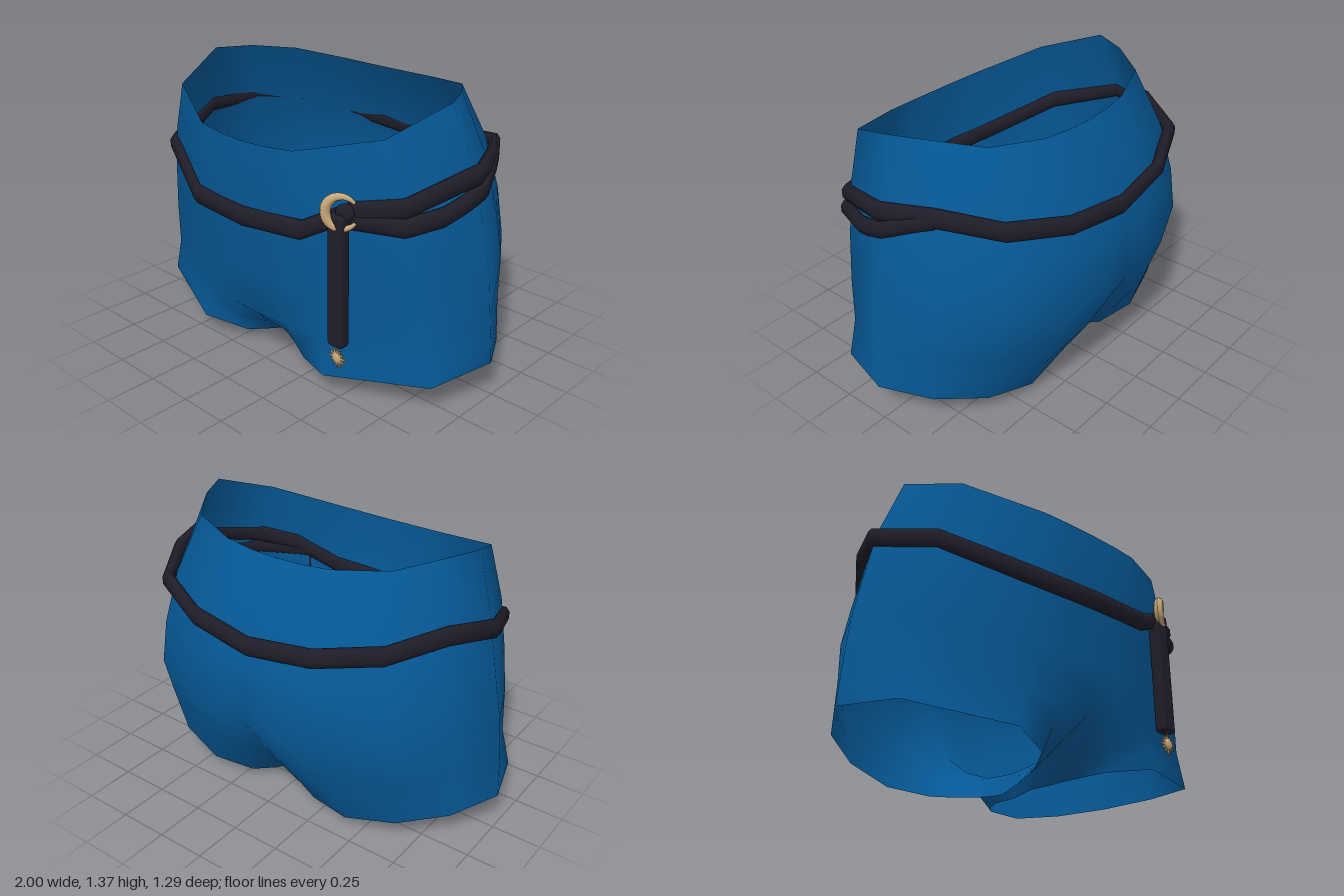
import * as THREE from 'three';
import { mergeVertices } from 'three/addons/utils/BufferGeometryUtils.js';
import { RoundedBoxGeometry } from 'three/addons/geometries/RoundedBoxGeometry.js';

const mat = (name, color, side = THREE.FrontSide) => {
  const m = new THREE.MeshStandardMaterial({ color, side });
  m.name = name;
  return m;
};

// Half outline of the hips from front to back: share of the half width, share of the depth
const OUTLINE = [
  [0, 1], [0.18, 0.99], [0.39, 0.95], [0.86, 0.61], [1, 0],
  [0.89, -0.37], [0.71, -0.76], [0.38, -0.95], [0.18, -0.99], [0, -1],
];
const BACK = OUTLINE.length - 1;

// Point on the outline at a (fractional) column; returns x, z and the depth share
function hipPoint(column, rx, zFront, zBack, zMid) {
  const i = Math.min(Math.floor(column), BACK - 1), f = column - i;
  const [u, w] = OUTLINE[i].map((v, k) => v + (OUTLINE[i + 1][k] - v) * f);
  return [rx * u, zMid + Math.abs(w) * ((w > 0 ? zFront : zBack) - zMid), w];
}

function makeGeometry(positions, index) {
  const g = new THREE.BufferGeometry();
  g.setAttribute('position', new THREE.Float32BufferAttribute(positions, 3));
  g.setIndex(index);
  return g;
}

function shortsGeometry() {
  // half width, front z, back z, middle z, then height at front, side and back
  const levels = [
    [0.768, 0.605, -0.4, 0.09, 1.16, 1.375, 1.31],
    [0.868, 0.61, -0.54, 0.04, 0.96, 1.08, 1.07],
    [0.925, 0.59, -0.625, 0.03, 0.74, 0.8, 0.83],
    [0.965, 0.56, -0.648, 0.03, 0.5, 0.6, 0.56],
    [0.985, 0.535, -0.56, 0.03, 0.265, 0.4, 0.32],
  ];
  const rows = levels.map(([rx, zf, zb, zm, yf, ys, yb]) => OUTLINE.map((_, column) => {
    const [x, z, w] = hipPoint(column, rx, zf, zb, zm);
    const y = w > 0 ? ys + (yf - ys) * w ** 1.3 : ys + (yb - ys) * (-w) ** 3;
    return [x, y, z];
  }));
  // Crease at the back, and the seam between the legs from back to front
  rows[4][BACK][2] += 0.06;
  const seam = [[0, 0.2, -0.34], [0, 0.13, -0.17], [0, 0.11, 0], [0, 0.12, 0.17], [0, 0.18, 0.36]];
  const legTop = [...rows[4], ...seam];
  // Leg opening: outside from front to back, then the inner thigh
  const hem = [
    [0.13, 0.04, 0.31], [0.2, 0.055, 0.43], [0.42, 0.095, 0.525], [0.9, 0.145, 0.335],
    [1, 0.18, 0.02], [0.875, 0.15, -0.21], [0.67, 0.105, -0.365], [0.42, 0.058, -0.425], [0.2, 0.045, -0.38],
    [0.12, 0.035, -0.29], [0.07, 0.022, -0.19], [0.05, 0.01, -0.1], [0.04, 0.003, -0.02],
    [0.05, 0.022, 0.08], [0.085, 0.028, 0.2],
  ];
  const legMid = legTop.map((p, i) => p.map((v, k) => (v + hem[i][k]) / 2));

  const positions = [], index = [];
  for (const side of [1, -1]) {
    const loft = (top, bottom, closed) => {
      const base = positions.length / 3, n = top.length;
      for (const [x, y, z] of [...top, ...bottom]) positions.push(x * side, y, z);
      for (let j = 0; j < (closed ? n : n - 1); j++) {
        const a = base + j, b = base + ((j + 1) % n), c = a + n, d = b + n;
        if (side > 0) index.push(a, c, b, b, c, d);
        else index.push(a, b, c, b, d, c);
      }
    };
    for (let i = 0; i < rows.length - 1; i++) loft(rows[i], rows[i + 1], false);
    loft(legTop, legMid, true);
    loft(legMid, hem, true);
  }
  const g = mergeVertices(makeGeometry(positions, index), 1e-4);
  g.computeVertexNormals();
  return g;
}

// Rounded strap around the hips; stops are [column (negative on the right side), height, outward shift]
function strapGeometry(stops, halfHeight, halfDepth, closed) {
  const S = 8, positions = [], index = [], n = stops.length;
  for (const [column, y, out = 0] of stops) {
    const [hx, z] = hipPoint(Math.abs(column), 0.89 + out, 0.61 + out, -0.605 - out, 0.04);
    const x = column < 0 ? -hx : hx;
    const normal = new THREE.Vector2(x / 0.8, z / 0.4).normalize();
    for (let k = 0; k < S; k++) {
      const t = ((k + 0.5) / S) * Math.PI * 2, r = Math.cos(t) * halfDepth;
      positions.push(x + normal.x * r, y + Math.sin(t) * halfHeight, z + normal.y * r);
    }
  }
  for (let i = 0; i < (closed ? n : n - 1); i++) {
    for (let k = 0; k < S; k++) {
      const a = i * S + k, b = i * S + ((k + 1) % S);
      const c = ((i + 1) % n) * S + k, d = ((i + 1) % n) * S + ((k + 1) % S);
      index.push(a, c, b, b, c, d);
    }
  }
  const g = makeGeometry(positions, index);
  g.computeVertexNormals();
  return g;
}

// Crescent: a partial torus whose thickness fades towards both tips
function crescentGeometry(radius, thickness, arc) {
  const g = new THREE.TorusGeometry(radius, thickness, 8, 28, arc);
  const p = g.attributes.position;
  for (let i = 0; i < p.count; i++) {
    const x = p.getX(i), y = p.getY(i);
    const u = ((Math.atan2(y, x) + Math.PI * 2 + 1e-4) % (Math.PI * 2)) / arc;
    const s = 0.3 + 0.7 * Math.sin(Math.PI * Math.min(u, 1));
    const d = Math.hypot(x, y), f = (radius + (d - radius) * s) / d;
    p.setXYZ(i, x * f, y * f, p.getZ(i) * s);
  }
  g.computeVertexNormals();
  return g;
}

export function createModel() {
  const blue = mat('blueFabric', 0x055997, THREE.DoubleSide);
  const dark = mat('darkLeather', 0x1f1d29, THREE.DoubleSide);
  const gold = mat('paleGold', 0xc9a878);
  const model = new THREE.Group();
  const add = (parent, name, geometry, material, x = 0, y = 0, z = 0) => {
    const m = new THREE.Mesh(geometry, material);
    m.name = name;
    m.position.set(x, y, z);
    parent.add(m);
    return m;
  };

  add(model, 'shorts', shortsGeometry(), blue);

  // Belt: low at the front, high at the sides, split into two strands on the left
  const beltStops = [
    [0, 0.8], [2, 0.825], [2.5, 0.94], [3, 0.98], [4, 1.075], [5, 1.085], [6, 1.04], [7, 0.985], [9, 0.95],
    [-7, 0.985], [-6, 1.04], [-5, 1.08], [-4, 1.045], [-3, 0.925], [-2, 0.805],
  ];
  add(model, 'belt', strapGeometry(beltStops, 0.048, 0.031, true), dark);
  const strand = [[2.4, 0.905, 0.005], [3, 0.9, 0.012], [3.5, 0.915, 0.015], [3.75, 0.95, 0.015],
    [4.1, 0.995, 0.015], [4.7, 1.055, 0.01], [5, 1.075, 0]];
  add(model, 'beltLowerStrand', strapGeometry(strand, 0.046, 0.03, false), dark);

  // Hanging strap
  add(model, 'hangingStrap', new RoundedBoxGeometry(0.09, 0.64, 0.066, 3, 0.022), dark, 0.524, 0.618, 0.533);

  // Crescent buckle, open towards the wearer's left
  const buckle = new THREE.Group();
  buckle.name = 'crescentBuckle';
  buckle.position.set(0.55, 0.95, 0.54);
  buckle.rotation.y = 0.5;
  const arc = Math.PI * 1.6;
  add(buckle, 'crescent', crescentGeometry(0.073, 0.024, arc), gold).rotation.z = Math.PI * 1.02 - arc / 2;
  add(buckle, 'knot', new THREE.SphereGeometry(0.045, 10, 8), dark, 0.01, -0.01, -0.02).scale.z = 0.6;
  model.add(buckle);

  // Star charm with alternating long and short rays
  const star = new THREE.Group();
  star.name = 'starCharm';
  star.position.set(0.525, 0.24, 0.54);
  add(star, 'starCentre', new THREE.SphereGeometry(0.03, 10, 8), gold).scale.z = 0.5;
  for (let i = 0; i < 12; i++) {
    const a = (i / 12) * Math.PI * 2, length = i % 3 ? 0.058 : 0.066;
    const ray = add(star, 'starRay', new THREE.ConeGeometry(0.013, length, 5), gold,
      -Math.sin(a) * length / 2, Math.cos(a) * length / 2, 0);
    ray.rotation.z = a;
  }
  model.add(star);
  return model;
}
